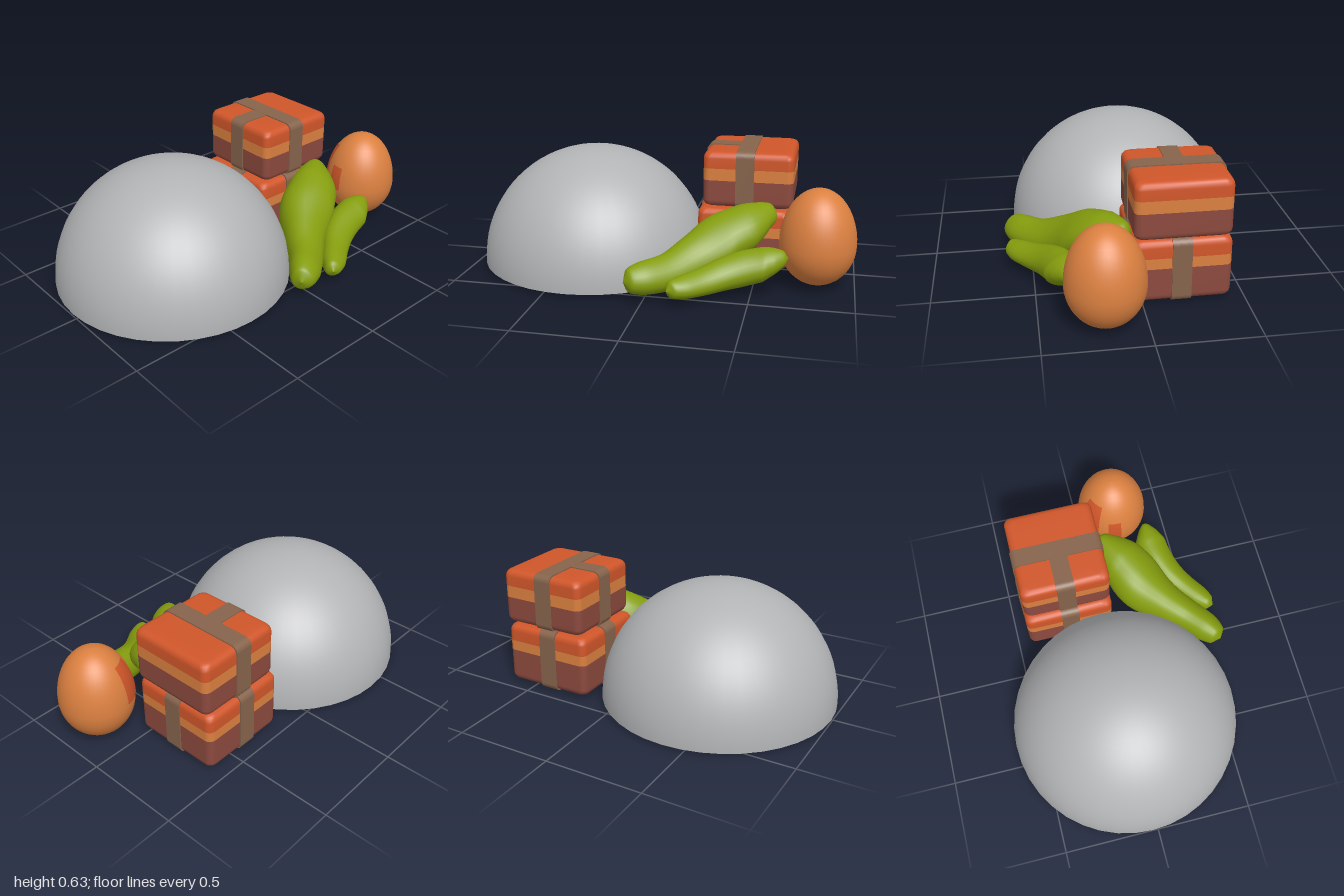
import * as THREE from 'three';

const mat = (name, color, extra = {}) => {
  const m = new THREE.MeshStandardMaterial({ color, ...extra });
  m.name = name;
  return m;
};

// Skin a list of closed rings (arrays of Vector3) into a smooth surface
function loft(rings) {
  const n = rings[0].length, pos = [], idx = [];
  rings.forEach((r) => r.forEach((p) => pos.push(p.x, p.y, p.z)));
  for (let i = 0; i < rings.length - 1; i++) {
    for (let j = 0; j < n; j++) {
      const k = (j + 1) % n;
      const a = i * n + j, b = i * n + k, c = a + n, d = b + n;
      idx.push(a, c, b, b, c, d);
    }
  }
  const g = new THREE.BufferGeometry();
  g.setAttribute('position', new THREE.Float32BufferAttribute(pos, 3));
  g.setIndex(idx);
  g.computeVertexNormals();
  return g;
}

// Rounded square ring of half size s at height y
function squareRing(s, y, radius) {
  const pts = [], r = Math.min(radius, s), c = s - r;
  for (let q = 0; q < 4; q++) {
    const sx = q === 0 || q === 3 ? 1 : -1, sz = q < 2 ? 1 : -1;
    for (let i = 0; i <= 5; i++) {
      const t = ((q + i / 5) * Math.PI) / 2;
      pts.push(new THREE.Vector3(sx * c + r * Math.cos(t), y, sz * c + r * Math.sin(t)));
    }
  }
  return pts;
}

// Flat-sided band with a rounded rectangular outline, w along x and h along y
function bandGeometry(w, h, r, width) {
  const s = new THREE.Shape(), x = w / 2, y = h / 2;
  s.absarc(x - r, y - r, r, 0, Math.PI / 2);
  s.absarc(-x + r, y - r, r, Math.PI / 2, Math.PI);
  s.absarc(-x + r, -y + r, r, Math.PI, Math.PI * 1.5);
  s.absarc(x - r, -y + r, r, Math.PI * 1.5, Math.PI * 2);
  const g = new THREE.ExtrudeGeometry(s, { depth: width, bevelEnabled: false, curveSegments: 6 });
  return g.translate(0, 0, -width / 2);
}

// Bent pod from sections [x, y, z, half width, half height]
function podGeometry(sections) {
  const path = new THREE.CatmullRomCurve3(sections.map((s) => new THREE.Vector3(s[0], s[1], s[2])));
  const size = new THREE.CatmullRomCurve3(sections.map((s) => new THREE.Vector3(s[3], s[4], 0)));
  const rings = [], up = new THREE.Vector3(0, 1, 0), N = 48, M = 24;
  for (let i = 0; i <= N; i++) {
    const c = path.getPoint(i / N), r = size.getPoint(i / N);
    const side = path.getTangent(i / N).cross(up).normalize();
    const ring = [];
    for (let j = 0; j < M; j++) {
      const t = (j / M) * Math.PI * 2, k = 1 + 0.05 * Math.cos(3 * t + 0.6);
      ring.push(c.clone()
        .addScaledVector(side, Math.max(r.x, 0) * Math.cos(t) * k)
        .addScaledVector(up, Math.max(r.y, 0) * Math.sin(t) * k));
    }
    rings.push(ring);
  }
  return loft(rings);
}

// Egg outline between two angles, 0 at the bottom and PI at the top
function eggProfile(a0, a1, grow) {
  return Array.from({ length: 25 }, (_, i) => {
    const a = a0 + ((a1 - a0) * i) / 24, c = -Math.cos(a);
    const r = Math.max(0, (0.19 + grow) * Math.sin(a));
    return new THREE.Vector2(r, 0.228 + c * ((c < 0 ? 0.21 : 0.282) + grow));
  });
}

export function createModel() {
  const group = new THREE.Group();
  const grey = mat('dome grey', 0xb2b3b5, { side: THREE.DoubleSide });
  const apricot = mat('apricot orange', 0xdb8040);
  const red = mat('red orange', 0xd0562a);
  const maroon = mat('maroon brown', 0x8c4a3e);
  const ribbon = mat('ribbon brown', 0x86644c);
  const green = mat('pod green', 0x859d0e);

  const add = (parent, name, geometry, material, x = 0, y = 0, z = 0) => {
    const m = new THREE.Mesh(geometry, material);
    m.name = name;
    m.position.set(x, y, z);
    parent.add(m);
    return m;
  };

  // Hollow half dome
  add(group, 'dome', new THREE.SphereGeometry(0.609, 40, 20, 0, Math.PI * 2, 0, Math.PI / 2),
    grey, -0.391, 0.013, -0.027);

  // Egg with two small patches on the far side
  const egg = new THREE.Group();
  egg.name = 'egg';
  egg.position.set(0.808, 0, 0.195);
  group.add(egg);
  add(egg, 'eggShell', new THREE.LatheGeometry(eggProfile(0, Math.PI, 0), 40), apricot);
  [[1.6, 2.4, -2.9, 0.7], [1.5, 2.0, -1.9, 0.4]].forEach(([a0, a1, p, len]) =>
    add(egg, 'eggPatch', new THREE.LatheGeometry(eggProfile(a0, a1, 0.002), 10, p, len), red));

  // Layered parcels: floor, two seams and roof heights
  function parcel(name, x, z, s, [y0, y1, y2, y3], fullCross) {
    const p = new THREE.Group();
    p.name = name;
    p.position.set(x, 0, z);
    group.add(p);
    const ring = ([inset, y]) => squareRing(s - inset, y, 0.035);
    const edge = [[0.036, 0], [0.022, 0.003], [0.01, 0.01], [0.003, 0.022], [0, 0.036]];
    const floor = [[s, y0], [0.1, y0], ...edge.map(([i, h]) => [i, y0 + h])];
    const roof = [...edge.map(([i, h]) => [i, y3 - h]).reverse(), [0.1, y3], [s, y3]];
    add(p, 'lowerLayer', loft([...floor, [0, y1]].map(ring)), maroon);
    add(p, 'middleLayer', loft([[0, y1], [0, y2]].map(ring)), apricot);
    add(p, 'upperLayer', loft([[0, y2], ...roof].map(ring)), red);

    // Ribbons wrapped around the parcel
    const t = 0.006, h = y3 - y0 + 2 * t, w = 2 * (s + t), mid = (y0 + y3) / 2;
    const long = add(p, 'frontBackRibbon', bandGeometry(w, h, 0.036, 0.095), ribbon, -0.015, mid, 0);
    long.rotation.y = Math.PI / 2;
    const crossW = fullCross ? w : w / 2;
    add(p, 'sideRibbon', bandGeometry(crossW, h - 0.002, 0.036, 0.095), ribbon,
      fullCross ? 0 : -w / 4, mid, fullCross ? 0.005 : 0);
  }
  parcel('lowerParcel', 0.417, -0.193, 0.24, [0.008, 0.185, 0.24, 0.33], true);
  parcel('upperParcel', 0.436, -0.192, 0.234, [0.338, 0.48, 0.543, 0.63], false);

  // Green pods lying against the parcels
  add(group, 'largePod', podGeometry([
    [-0.083, 0.11, 0.605, 0, 0], [-0.06, 0.11, 0.59, 0.055, 0.06], [0.0, 0.11, 0.545, 0.08, 0.082],
    [0.1, 0.115, 0.455, 0.09, 0.092], [0.2, 0.15, 0.345, 0.112, 0.118], [0.32, 0.215, 0.235, 0.148, 0.135],
    [0.43, 0.265, 0.17, 0.135, 0.122], [0.52, 0.31, 0.105, 0.085, 0.08],
    [0.565, 0.325, 0.075, 0.05, 0.055], [0.59, 0.325, 0.055, 0, 0],
  ]), green);
  add(group, 'smallPod', podGeometry([
    [0.13, 0.088, 0.625, 0, 0], [0.148, 0.088, 0.605, 0.04, 0.042], [0.2, 0.088, 0.56, 0.062, 0.056],
    [0.28, 0.095, 0.492, 0.07, 0.066], [0.37, 0.115, 0.425, 0.082, 0.08], [0.46, 0.135, 0.385, 0.088, 0.088],
    [0.55, 0.155, 0.365, 0.09, 0.085], [0.61, 0.175, 0.36, 0.065, 0.065],
    [0.655, 0.19, 0.355, 0.03, 0.038], [0.675, 0.195, 0.35, 0, 0],
  ]), green);

  return group;
}
